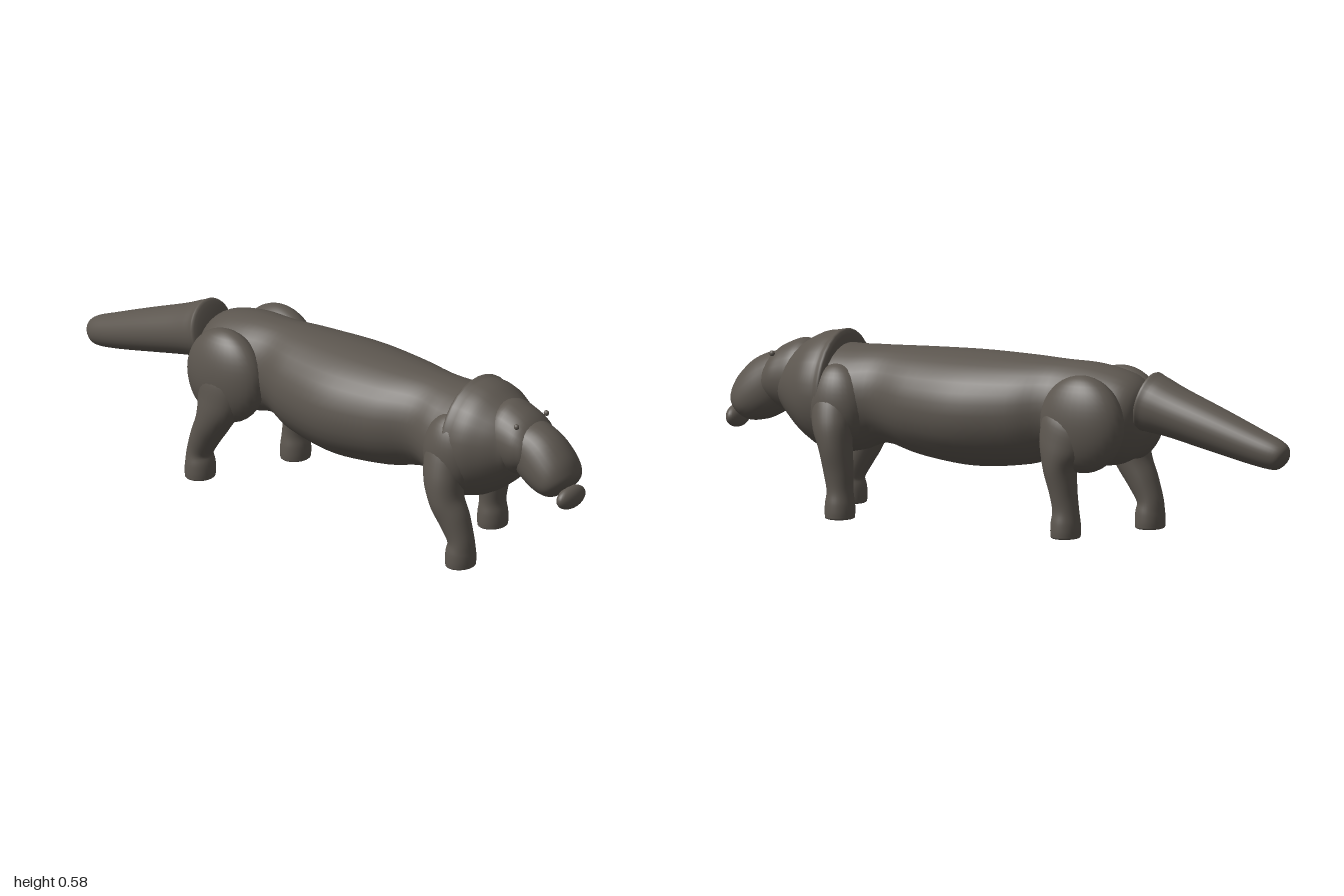
import * as THREE from 'three';

const hide = new THREE.MeshStandardMaterial({ color: 0x5c564f });
hide.name = 'dark hide';

// Smooth interpolation through rows of numbers
function smoothRows(rows, steps) {
  const out = [];
  const at = i => rows[Math.max(0, Math.min(rows.length - 1, i))];
  for (let i = 0; i < rows.length - 1; i++) {
    for (let s = 0; s < steps; s++) {
      const t = s / steps;
      out.push(at(i).map((p1, k) => {
        const p0 = at(i - 1)[k], p2 = at(i + 1)[k], p3 = at(i + 2)[k];
        return p1 + 0.5 * t * (p2 - p0 + t * (2 * p0 - 5 * p1 + 4 * p2 - p3 + t * (3 * (p1 - p2) + p3 - p0)));
      }));
    }
  }
  out.push(at(rows.length - 1));
  return out;
}

// Skin of elliptical rings along a spine; rows are [x, y, z, width radius, depth radius]
function sweep(name, rows, upright = false, sides = 32) {
  const rings = smoothRows(rows, 5);
  const pos = [], index = [];
  rings.forEach(([x, y, z, rx, rv], i) => {
    const a = rings[Math.max(0, i - 1)], b = rings[Math.min(rings.length - 1, i + 1)];
    const len = Math.hypot(b[1] - a[1], b[2] - a[2]) || 1;
    const vy = upright ? 1 : (b[2] - a[2]) / len;
    const vz = upright ? 0 : -(b[1] - a[1]) / len;
    for (let j = 0; j < sides; j++) {
      const ang = (j / sides) * Math.PI * 2;
      const v = Math.sin(ang) * Math.max(rv, 0.001);
      pos.push(x + Math.cos(ang) * Math.max(rx, 0.001), y + vy * v, z + vz * v);
      if (i < rings.length - 1) {
        const k = i * sides, n = (j + 1) % sides;
        index.push(k + j, k + n, k + sides + j, k + n, k + sides + n, k + sides + j);
      }
    }
  });
  const geo = new THREE.BufferGeometry();
  geo.setAttribute('position', new THREE.Float32BufferAttribute(pos, 3));
  geo.setIndex(index);
  geo.computeVertexNormals();
  const mesh = new THREE.Mesh(geo, hide);
  mesh.name = name;
  return mesh;
}

// Upright skin; rows are [z, top, bottom, half width]
const loft = (name, rows) =>
  sweep(name, rows.map(([z, top, low, w]) => [0, (top + low) / 2, z, w, (top - low) / 2]), true);

function ball(name, x, y, z, sx, sy, sz) {
  const mesh = new THREE.Mesh(new THREE.SphereGeometry(1, 32, 20), hide);
  mesh.name = name;
  mesh.position.set(x, y, z);
  mesh.scale.set(sx, sy, sz);
  return mesh;
}

// Leg from its upper rows down to a flat rounded foot
function leg(name, side, upper, footZ) {
  const foot = [[0.092, 0.045, 0.041], [0.05, 0.051, 0.046], [0.015, 0.052, 0.046], [0.003, 0.045, 0.04], [0, 0.001, 0.001]]
    .map(([y, rx, rz]) => [0.153, y, footZ, rx, rz]);
  return sweep(name, [...upper, ...foot].map(([x, ...rest]) => [x * side, ...rest]));
}

export function createModel() {
  const model = new THREE.Group();
  model.name = 'animal';

  // Torso with narrow waist and loins
  model.add(loft('torso', [
    [-0.495, 0.42, 0.38, 0.001], [-0.485, 0.475, 0.31, 0.085], [-0.43, 0.515, 0.235, 0.135],
    [-0.32, 0.537, 0.215, 0.148], [-0.2, 0.541, 0.235, 0.135], [-0.08, 0.545, 0.2, 0.175],
    [0.1, 0.547, 0.183, 0.205], [0.28, 0.543, 0.2, 0.185], [0.42, 0.538, 0.23, 0.147],
    [0.52, 0.534, 0.2, 0.165], [0.62, 0.525, 0.195, 0.165], [0.68, 0.45, 0.3, 0.08], [0.7, 0.38, 0.37, 0.001],
  ]));

  // Thick neck hood stepping up from the back
  model.add(loft('neckHood', [
    [0.575, 0.39, 0.37, 0.001], [0.58, 0.56, 0.2, 0.165], [0.61, 0.572, 0.188, 0.176],
    [0.66, 0.562, 0.207, 0.17], [0.71, 0.535, 0.24, 0.145], [0.755, 0.505, 0.28, 0.113],
    [0.785, 0.47, 0.32, 0.085], [0.8, 0.4, 0.38, 0.001],
  ]));

  // Head: crown, drooping snout, lip and eyes
  model.add(loft('crown', [
    [0.67, 0.44, 0.4, 0.001], [0.69, 0.515, 0.32, 0.088], [0.73, 0.538, 0.3, 0.105],
    [0.78, 0.523, 0.305, 0.104], [0.82, 0.498, 0.32, 0.097], [0.85, 0.46, 0.34, 0.075], [0.87, 0.41, 0.4, 0.001],
  ]));
  model.add(sweep('snout', [
    [0, 0.44, 0.74, 0.001, 0.001], [0, 0.425, 0.775, 0.078, 0.07], [0, 0.39, 0.84, 0.088, 0.094],
    [0, 0.347, 0.898, 0.091, 0.087], [0, 0.317, 0.935, 0.083, 0.066], [0, 0.302, 0.953, 0.055, 0.043],
    [0, 0.296, 0.96, 0.001, 0.001],
  ]));
  model.add(ball('lip', 0, 0.275, 0.972, 0.062, 0.037, 0.028));
  for (const side of [-1, 1]) {
    model.add(ball(side > 0 ? 'leftEye' : 'rightEye', side * 0.072, 0.491, 0.81, 0.008, 0.009, 0.009));
  }

  // Tapering tail with a blunt root and rounded tip
  model.add(sweep('tail', [
    [0, 0.28, -0.998, 0.001, 0.001], [0, 0.284, -0.99, 0.028, 0.028], [0, 0.293, -0.965, 0.047, 0.047],
    [0, 0.317, -0.88, 0.06, 0.058], [0, 0.36, -0.74, 0.074, 0.07], [0, 0.402, -0.6, 0.085, 0.081],
    [0, 0.424, -0.525, 0.09, 0.092], [0, 0.431, -0.498, 0.087, 0.089], [0, 0.433, -0.49, 0.001, 0.001],
  ]));

  // Haunches and shoulders
  for (const side of [-1, 1]) {
    const word = side > 0 ? 'left' : 'right';
    model.add(ball(word + 'Haunch', side * 0.128, 0.362, -0.335, 0.08, 0.154, 0.145));
    model.add(ball(word + 'Shoulder', side * 0.115, 0.355, side > 0 ? 0.55 : 0.58, 0.076, 0.13, 0.1));
  }

  // Left legs stand straight, right legs are bent mid-stride
  model.add(leg('leftFrontLeg', 1, [
    [0.12, 0.43, 0.56, 0.001, 0.001], [0.13, 0.4, 0.56, 0.045, 0.055], [0.148, 0.31, 0.55, 0.062, 0.066],
    [0.155, 0.23, 0.535, 0.06, 0.052], [0.153, 0.15, 0.525, 0.05, 0.046],
  ], 0.52));
  model.add(leg('rightFrontLeg', -1, [
    [0.12, 0.43, 0.57, 0.001, 0.001], [0.13, 0.4, 0.57, 0.045, 0.06], [0.148, 0.3, 0.575, 0.062, 0.066],
    [0.157, 0.215, 0.595, 0.06, 0.054], [0.155, 0.155, 0.625, 0.052, 0.05],
  ], 0.65));
  model.add(leg('leftHindLeg', 1, [
    [0.14, 0.42, -0.32, 0.001, 0.001], [0.145, 0.38, -0.31, 0.055, 0.09], [0.153, 0.3, -0.285, 0.062, 0.085],
    [0.157, 0.23, -0.272, 0.059, 0.055], [0.154, 0.15, -0.282, 0.05, 0.043],
  ], -0.29));
  model.add(leg('rightHindLeg', -1, [
    [0.14, 0.42, -0.33, 0.001, 0.001], [0.145, 0.38, -0.33, 0.055, 0.09], [0.153, 0.29, -0.335, 0.062, 0.08],
    [0.157, 0.215, -0.36, 0.06, 0.058], [0.155, 0.15, -0.395, 0.052, 0.048],
  ], -0.42));

  return model;
}
